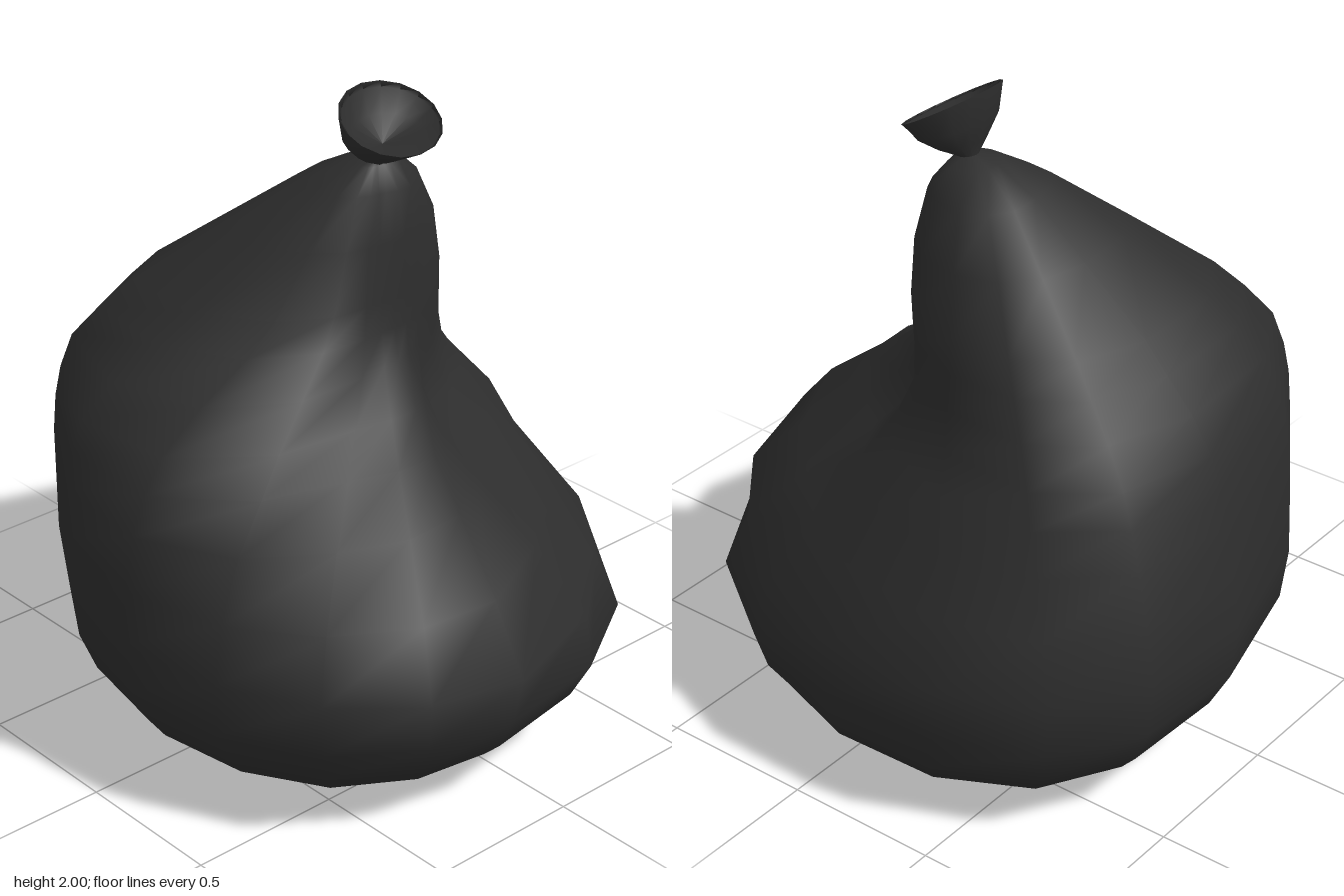
import * as THREE from 'three';

const SIDES = 16;

// Skin a stack of closed rings (arrays of Vector3) with shared, smooth normals
function loft(rings, name, material) {
  const index = [];
  for (let i = 0; i < rings.length - 1; i++) {
    for (let j = 0; j < SIDES; j++) {
      const k = (j + 1) % SIDES;
      const a = i * SIDES + j, b = i * SIDES + k;
      const c = a + SIDES, d = b + SIDES;
      index.push(a, c, b, b, c, d);
    }
  }
  const geometry = new THREE.BufferGeometry().setFromPoints(rings.flat());
  geometry.setIndex(index);
  geometry.computeVertexNormals();
  const mesh = new THREE.Mesh(geometry, material);
  mesh.name = name;
  return mesh;
}

// Axis through the tied neck (x, z)
const AXIS = [0.04, -0.1];

// Widest outline of the sack, seen from above, as x, z
const OUTLINE = [
  [0.97, 0.16], [0.9, 0.46], [0.7, 0.71], [0.4, 0.86],
  [0.04, 0.9], [-0.33, 0.82], [-0.67, 0.61], [-0.85, 0.36],
  [-0.97, -0.1], [-0.94, -0.49], [-0.76, -0.76], [-0.43, -0.9],
  [-0.03, -0.9], [0.32, -0.81], [0.66, -0.57], [0.88, -0.25],
];

// Height, then the share of the outline reached in eight directions:
// +x, +x+z, +z, -x+z, -x, -x-z, -z, +x-z
const LEVELS = [
  [0.03, 0.4, 0.55, 0.65, 0.65, 0.65, 0.55, 0.45, 0.4],
  [0.06, 0.62, 0.7, 0.75, 0.76, 0.74, 0.74, 0.76, 0.65],
  [0.12, 0.78, 0.83, 0.86, 0.86, 0.84, 0.87, 0.91, 0.84],
  [0.2, 0.87, 0.9, 0.92, 0.93, 0.91, 0.94, 0.97, 0.93],
  [0.33, 0.95, 0.98, 0.98, 0.98, 0.98, 0.99, 1, 1.01],
  [0.5, 1, 0.98, 1, 1, 1, 1, 0.98, 0.91],
  [0.68, 0.82, 0.89, 0.99, 1, 0.98, 0.93, 0.82, 0.66],
  [0.85, 0.58, 0.71, 0.96, 1, 0.955, 0.85, 0.69, 0.38],
  [0.97, 0.42, 0.5, 0.91, 0.99, 0.92, 0.79, 0.52, 0.22],
  [1.07, 0.29, 0.37, 0.84, 0.97, 0.88, 0.74, 0.4, 0.18],
  [1.18, 0.17, 0.25, 0.69, 0.93, 0.81, 0.66, 0.37, 0.175],
  [1.28, 0.14, 0.19, 0.51, 0.84, 0.72, 0.58, 0.37, 0.175],
  [1.37, 0.13, 0.16, 0.4, 0.74, 0.64, 0.51, 0.37, 0.175],
  [1.55, 0.11, 0.13, 0.26, 0.47, 0.42, 0.38, 0.33, 0.165],
  [1.7, 0.075, 0.09, 0.15, 0.24, 0.24, 0.25, 0.23, 0.14],
  [1.77, 0.03, 0.04, 0.06, 0.09, 0.1, 0.12, 0.13, 0.06],
];

function sackRing([y, ...share]) {
  const at = (n) => share[(n + 8) % 8];
  return OUTLINE.map(([x, z], j) => {
    const n = Math.floor(j / 2);
    // Odd corners lie on a smooth curve between the eight directions
    const s = j % 2 === 0 ? at(n)
      : (9 * (at(n) + at(n + 1)) - at(n - 1) - at(n + 2)) / 16;
    return new THREE.Vector3(AXIS[0] + (x - AXIS[0]) * s, y, AXIS[1] + (z - AXIS[1]) * s);
  });
}

// Ring shrunk to a point, closing the sack
const pole = (y) => sackRing([y, ...Array(8).fill(0)]);

// Gathered mouth, up the outside and back down the inside:
// centre x, centre y, half width in x, tilt in y, half width in z
const MOUTH = [
  [0.04, 1.72, 0.03, 0, 0.03],
  [0.04, 1.775, 0.028, 0, 0.03],
  [0.06, 1.81, 0.06, -0.015, 0.09],
  [0.08, 1.86, 0.1, -0.035, 0.15],
  [0.1, 1.925, 0.13, -0.075, 0.175],
  [0.1, 1.915, 0.12, -0.068, 0.165],
  [0.085, 1.875, 0.08, -0.03, 0.12],
  [0.065, 1.835, 0, 0, 0],
];

function mouthRing([cx, cy, rx, tilt, rz]) {
  return Array.from({ length: SIDES }, (_, j) => {
    const a = (j / SIDES) * Math.PI * 2;
    return new THREE.Vector3(
      cx + Math.cos(a) * rx,
      cy + Math.cos(a) * tilt,
      AXIS[1] - 0.005 + Math.sin(a) * rz,
    );
  });
}

export function createModel() {
  const group = new THREE.Group();
  group.name = 'tiedSack';
  const plastic = new THREE.MeshStandardMaterial({ color: 0x2d2d2d });
  plastic.name = 'black plastic';

  group.add(loft([pole(0), ...LEVELS.map(sackRing), pole(1.785)], 'sackBody', plastic));
  group.add(loft(MOUTH.map(mouthRing), 'gatheredMouth', plastic));
  return group;
}
